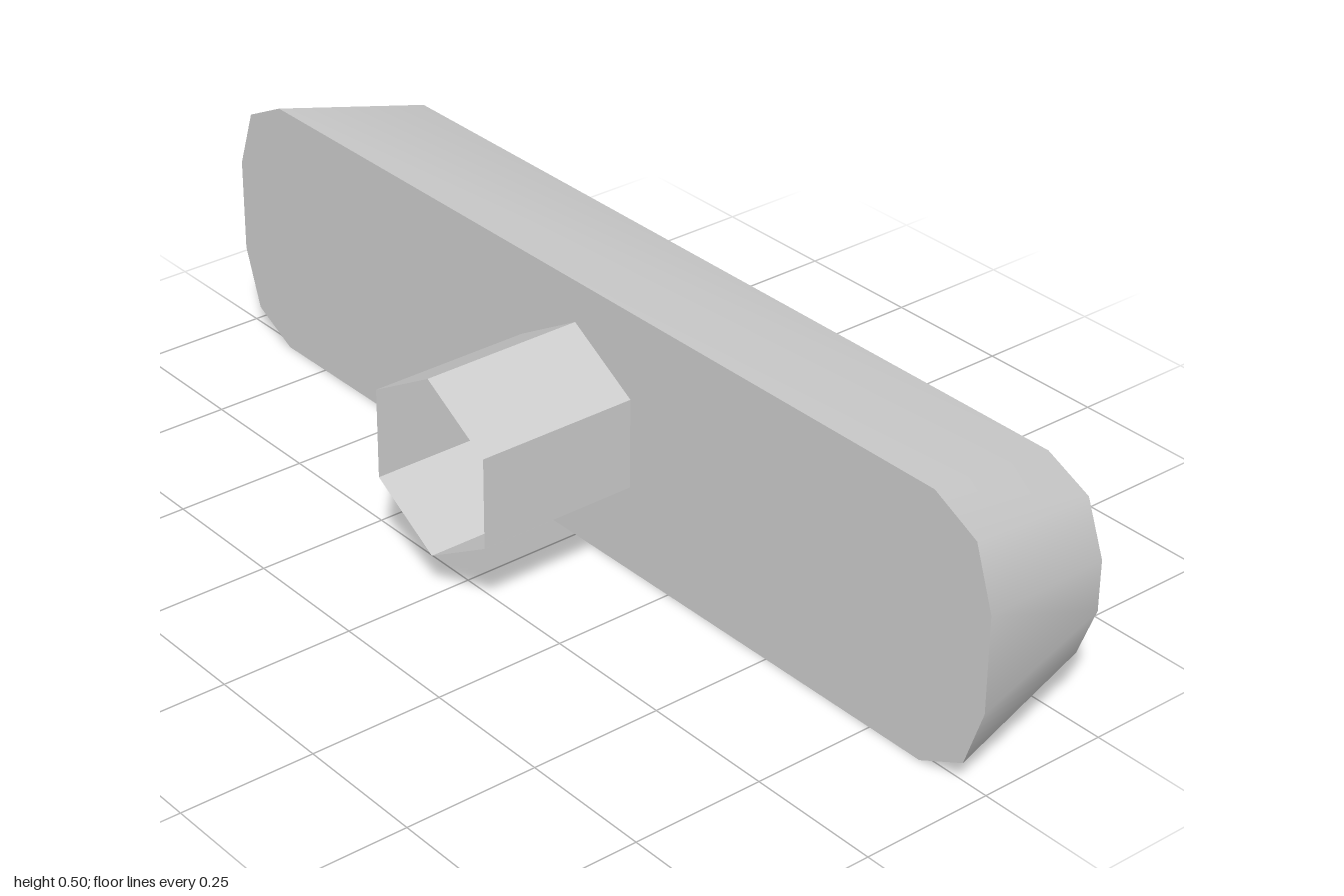
import * as THREE from 'three';

// Long octagon-cornered outline in the z-y plane, counter-clockwise seen from +x
function ring(x, halfZ, halfY, rz, ry) {
  const pts = [];
  for (let q = 0; q < 4; q++) {
    for (let s = 0; s < 3; s++) {
      const a = (q + s / 2) * Math.PI / 2;
      const signZ = q === 0 || q === 3 ? 1 : -1;
      const signY = q < 2 ? 1 : -1;
      const z = signZ * (halfZ - rz) + rz * Math.cos(a);
      const y = signY * (halfY - ry) + ry * Math.sin(a);
      pts.push([x, 0.25 + y, -z]);
    }
  }
  return pts;
}

function indexed(points, index) {
  const g = new THREE.BufferGeometry();
  g.setAttribute('position', new THREE.Float32BufferAttribute(points.flat(), 3));
  g.setIndex(index);
  g.computeVertexNormals();
  return g;
}

export function createModel() {
  const group = new THREE.Group();
  const grey = new THREE.MeshStandardMaterial({ color: 0xcccccc, side: THREE.DoubleSide });
  grey.name = 'light grey';
  const add = (name, geometry) => {
    const mesh = new THREE.Mesh(geometry, grey);
    mesh.name = name;
    group.add(mesh);
    return mesh;
  };

  // Tapered body: back outline, bevel start, front face outline
  const rings = [
    ring(-0.015, 1, 0.25, 0.134, 0.16),
    ring(0.28, 0.95, 0.1875, 0.13, 0.14),
    ring(0.325, 0.905, 0.143, 0.12, 0.12),
  ];
  const n = rings[0].length;
  const index = [];
  for (let r = 0; r < 2; r++) {
    for (let i = 0; i < n; i++) {
      const a = r * n + i, b = r * n + (i + 1) % n;
      index.push(a, b, b + n, a, b + n, a + n);
    }
  }
  // Front face shares its rim so the bevel shades softly
  const centre = 3 * n;
  for (let i = 0; i < n; i++) index.push(centre, 2 * n + i, 2 * n + (i + 1) % n);
  // Outline runs counter-clockwise seen from +x
  add('body', indexed([...rings.flat(), [0.325, 0.25, 0]], index));

  // Flat back plate with a sharp rim
  const back = [];
  for (let i = 1; i < n - 1; i++) back.push(0, i + 1, i);
  add('backPlate', indexed(rings[0], back));

  // Open hexagonal stem
  const stem = new THREE.CylinderGeometry(0.171, 0.171, 0.31, 6, 1, true).toNonIndexed();
  stem.rotateZ(Math.PI / 2);
  // Point the hexagon's corners up and down
  const p = stem.attributes.position;
  let top = 0;
  for (let i = 0; i < p.count; i++) top = Math.max(top, p.getY(i));
  if (top < 0.16) stem.rotateX(Math.PI / 6);
  stem.scale(1, 1, 0.993);
  stem.computeVertexNormals();
  stem.translate(-0.17, 0.25, 0);
  add('stem', stem);

  return group;
}
